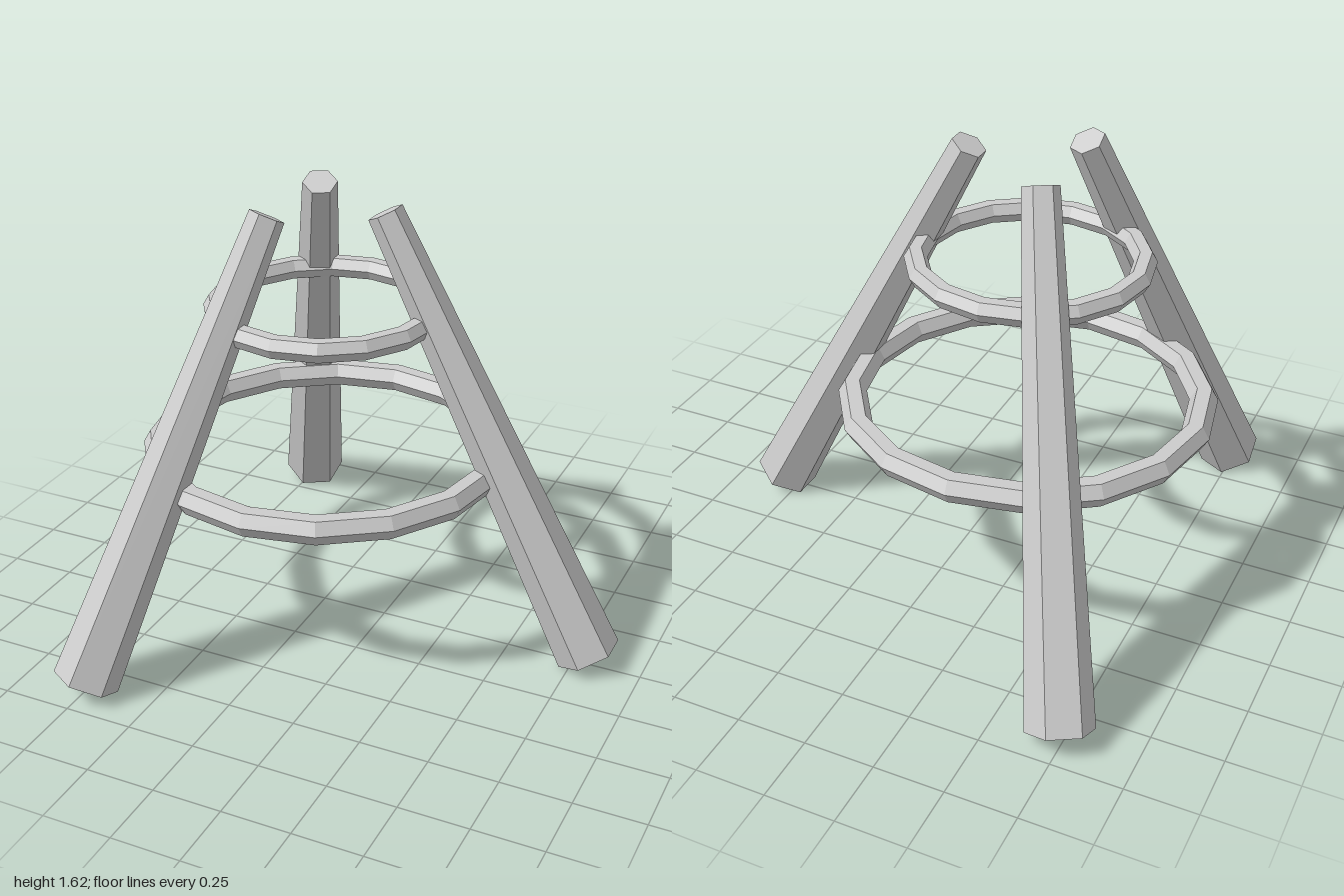
import * as THREE from 'three';

export function createModel() {
  const model = new THREE.Group();
  model.name = 'tripodStand';

  const grey = new THREE.MeshStandardMaterial({ color: 0xcccccc, flatShading: true });
  grey.name = 'plain grey';

  // Everything is arranged around this vertical axis
  const frame = new THREE.Group();
  frame.name = 'frame';
  frame.position.x = -0.225;
  model.add(frame);

  // Three tapered six-sided legs leaning in towards the axis
  const foot = { r: 1.03, y: 0.0475 };
  const tip = { r: 0.229, y: 1.596 };
  const run = foot.r - tip.r;
  const rise = tip.y - foot.y;
  const legGeometry = new THREE.CylinderGeometry(0.063, 0.1175, Math.hypot(run, rise), 6);
  for (let i = 0; i < 3; i++) {
    const pivot = new THREE.Group();
    pivot.name = `legPivot${i + 1}`;
    pivot.rotation.y = (i * Math.PI * 2) / 3;
    const leg = new THREE.Mesh(legGeometry, grey);
    leg.name = `leg${i + 1}`;
    leg.position.set((foot.r + tip.r) / 2, (foot.y + tip.y) / 2, 0);
    leg.rotation.z = Math.atan2(run, rise);
    pivot.add(leg);
    frame.add(pivot);
  }

  // Two horizontal bracing rings with a six-sided section
  const addRing = (name, radius, tube, y) => {
    const ring = new THREE.Mesh(new THREE.TorusGeometry(radius, tube, 6, 16), grey);
    ring.name = name;
    ring.rotation.x = Math.PI / 2;
    ring.position.y = y;
    frame.add(ring);
  };
  addRing('lowerRing', 0.624, 0.051, 0.675);
  addRing('upperRing', 0.39, 0.041, 1.219);

  return model;
}
